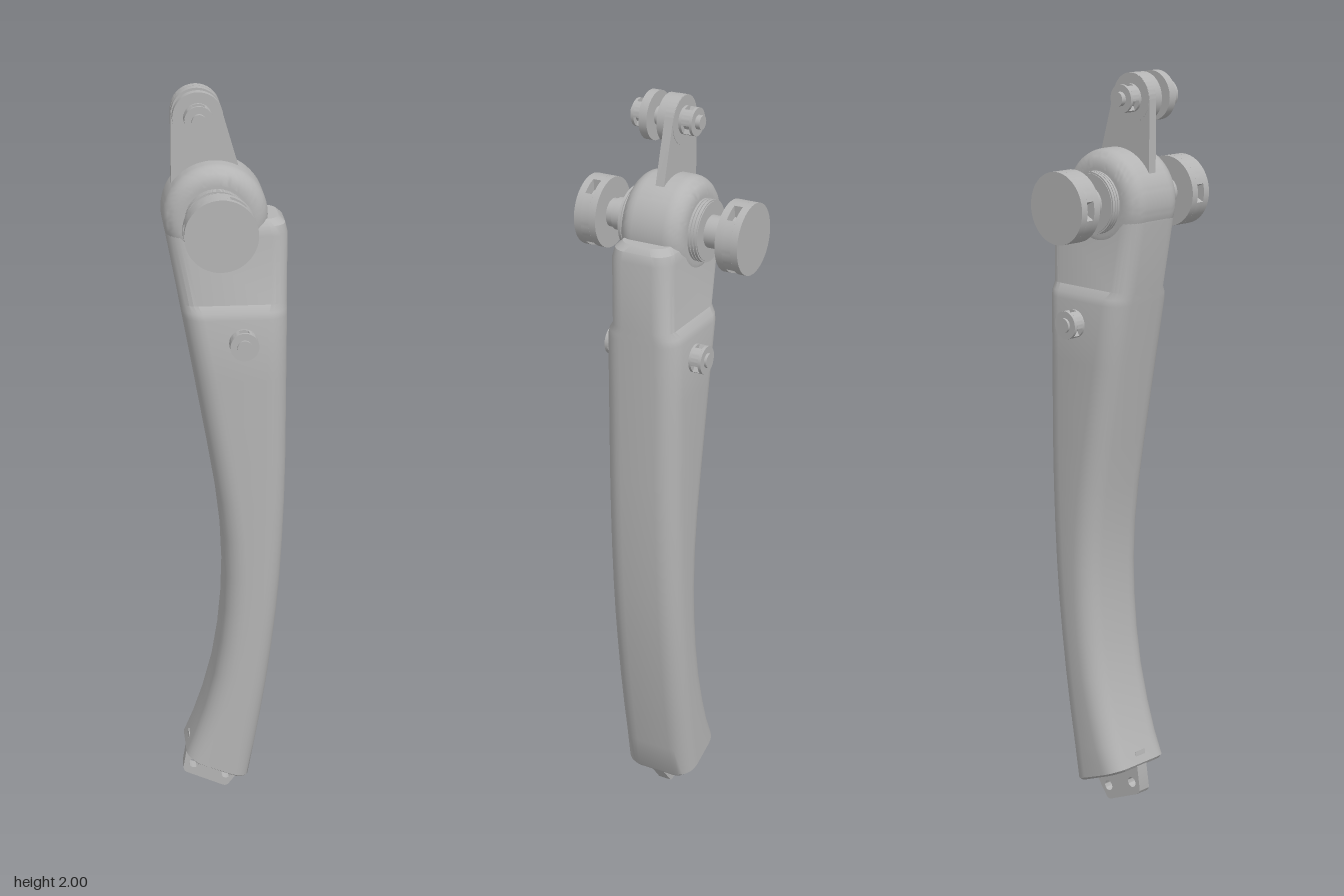
import * as THREE from 'three';
import { toCreasedNormals } from 'three/addons/utils/BufferGeometryUtils.js';

const metal = new THREE.MeshStandardMaterial({ color: 0xb4b4b4 });
metal.name = 'grey metal';

function add(parent, name, geometry) {
  const mesh = new THREE.Mesh(geometry, metal);
  mesh.name = name;
  parent.add(mesh);
  return mesh;
}

// Disc along z from z0 to z1
function disc(parent, name, x, y, r, z0, z1) {
  const g = new THREE.CylinderGeometry(r, r, Math.abs(z1 - z0), 48).rotateX(Math.PI / 2);
  add(parent, name, g).position.set(x, y, (z0 + z1) / 2);
}

// Flat shape extruded between z0 and z1
function plate(parent, name, shape, z0, z1) {
  const lo = Math.min(z0, z1);
  const g = new THREE.ExtrudeGeometry(shape, { depth: Math.abs(z1 - z0), bevelEnabled: false, curveSegments: 32 });
  add(parent, name, toCreasedNormals(g.translate(0, 0, lo), 0.5));
}

// Collar with three radial screw pockets in its middle layer
function collar(parent, name, x, y, r, z0, z1, phase, halfAngle, depth, slot) {
  const mid = (z0 + z1) / 2, s = Math.sign(z1 - z0) * slot / 2;
  disc(parent, name, x, y, r, z0, mid - s);
  disc(parent, name, x, y, r, mid + s, z1);
  const pts = [];
  for (let i = 0; i < 72; i++) {
    const off = ((i * 5 - phase + 420) % 120) - 60;
    const rad = Math.abs(off) <= halfAngle ? r - depth : r;
    const a = THREE.MathUtils.degToRad(i * 5 + 60);
    pts.push(new THREE.Vector2(x + rad * Math.cos(a), y + rad * Math.sin(a)));
  }
  plate(parent, name + 'Pockets', new THREE.Shape(pts), mid - s, mid + s);
}

// Rounded-rectangle sections [xLeft, yLeft, xRight, yRight, halfDepth, corner] joined from bottom to top
function loft(sections) {
  const pos = [], idx = [], steps = 6, n = 4 * (steps + 1);
  for (const [xl, yl, xr, yr, h, c] of sections) {
    for (let q = 0; q < 4; q++) {
      for (let k = 0; k <= steps; k++) {
        const a = (q + k / steps) * Math.PI / 2;
        const cx = q === 0 || q === 3 ? xr - c : xl + c;
        const cz = q < 2 ? h - c : c - h;
        const x = cx + c * Math.cos(a);
        pos.push(x, yl + (yr - yl) * (x - xl) / (xr - xl), cz + c * Math.sin(a));
      }
    }
  }
  const last = sections.length - 1;
  for (let i = 0; i < last; i++) {
    for (let j = 0; j < n; j++) {
      const a = i * n + j, b = i * n + (j + 1) % n;
      idx.push(a, a + n, b + n, a, b + n, b);
    }
  }
  for (const i of [0, last]) {
    const [xl, yl, xr, yr] = sections[i], m = pos.length / 3;
    pos.push((xl + xr) / 2, (yl + yr) / 2, 0);
    for (let j = 0; j < n; j++) {
      const a = i * n + j, b = i * n + (j + 1) % n;
      if (i) idx.push(m, b, a); else idx.push(m, a, b);
    }
  }
  const g = new THREE.BufferGeometry();
  g.setAttribute('position', new THREE.Float32BufferAttribute(pos, 3));
  g.setIndex(idx);
  return toCreasedNormals(g, 0.6);
}

export function createModel() {
  const model = new THREE.Group();
  model.name = 'leverArm';

  // Curved arm with a thinner upper end and a rounded shoulder
  add(model, 'arm', loft([
    [-0.105, 0.128, 0.055, 0.06, 0.092, 0.04],
    [-0.11, 0.137, 0.06, 0.067, 0.105, 0.05],
    [-0.085, 0.2, 0.078, 0.16, 0.105, 0.055],
    [-0.058, 0.28, 0.095, 0.26, 0.105, 0.055],
    [-0.032, 0.38, 0.112, 0.37, 0.105, 0.055],
    [-0.016, 0.48, 0.126, 0.48, 0.105, 0.055],
    [-0.007, 0.58, 0.137, 0.58, 0.105, 0.055],
    [-0.004, 0.68, 0.145, 0.68, 0.105, 0.055],
    [-0.009, 0.79, 0.151, 0.79, 0.105, 0.055],
    [-0.022, 0.9, 0.155, 0.9, 0.105, 0.055],
    [-0.042, 1.02, 0.157, 1.02, 0.105, 0.055],
    [-0.083, 1.25, 0.157, 1.25, 0.105, 0.055],
    [-0.113, 1.415, 0.157, 1.415, 0.105, 0.055],
    [-0.116, 1.432, 0.157, 1.432, 0.1, 0.052],
    [-0.119, 1.45, 0.157, 1.45, 0.087, 0.045],
    [-0.153, 1.63, 0.157, 1.63, 0.087, 0.045],
    [-0.154, 1.655, 0.151, 1.655, 0.081, 0.043],
    [-0.15, 1.67, 0.135, 1.67, 0.066, 0.04],
  ]));

  // Rounded pivot head
  const px = -0.027, py = 1.677, bevel = 0.045;
  const head = new THREE.ExtrudeGeometry(new THREE.Shape().absarc(px, py, 0.133, 0, Math.PI * 2), {
    depth: 0.176 - 2 * bevel, bevelThickness: bevel, bevelSize: bevel, bevelOffset: -bevel,
    bevelSegments: 7, curveSegments: 48,
  });
  head.translate(0, 0, -0.088 + bevel);
  add(model, 'pivotHead', toCreasedNormals(head, 0.5));

  for (const s of [1, -1]) {
    // Pivot washers, stepped hub and pocketed end knob
    const side = new THREE.Group();
    side.name = s > 0 ? 'frontPivot' : 'backPivot';
    model.add(side);
    for (let i = 0; i < 3; i++) {
      const z = 0.087 + i * 0.0087;
      disc(side, 'washer', px, py, 0.08, s * z, s * (z + 0.0067));
      disc(side, 'washerGroove', px, py, 0.076, s * (z + 0.0067), s * (z + 0.0087));
    }
    disc(side, 'hub', px, py, 0.042, s * 0.11, s * 0.152);
    disc(side, 'neck', px, py, 0.037, s * 0.15, s * 0.172);
    collar(side, 'knob', px, py, 0.092, s * 0.17, s * 0.232, 0, 12, 0.03, 0.023);

    // Side bolt lower on the arm
    const bolt = new THREE.Group();
    bolt.name = s > 0 ? 'frontBolt' : 'backBolt';
    model.add(bolt);
    collar(bolt, 'boltCollar', 0.04, 1.355, 0.037, s * 0.103, s * 0.14, 30, 15, 0.014, 0.02);
    disc(bolt, 'boltPin', 0.04, 1.355, 0.019, s * 0.1, s * 0.147);
  }

  // Thin tapered link rising from the head
  const tx = -0.073, ty = 1.938, tr = 0.063;
  const link = new THREE.Shape();
  link.moveTo(-0.136, 1.7);
  link.lineTo(0.062, 1.7);
  link.lineTo(tx + tr * Math.cos(0.32), ty + tr * Math.sin(0.32));
  link.absarc(tx, ty, tr, 0.32, Math.PI, false);
  plate(model, 'link', link, -0.012, 0.012);

  // Top joint: two cheeks on an axle with a collar at each end
  const joint = new THREE.Group();
  joint.name = 'topJoint';
  model.add(joint);
  disc(joint, 'innerCheek', tx, ty, tr - 0.0005, -0.013, 0.034);
  disc(joint, 'outerCheek', tx, ty, tr, 0.062, 0.085);
  disc(joint, 'spacer', tx, ty, 0.024, 0.03, 0.065);
  disc(joint, 'axle', tx, ty, 0.018, -0.063, 0.133);
  collar(joint, 'backCollar', tx, ty, 0.036, -0.013, -0.05, 30, 20, 0.012, 0.022);
  collar(joint, 'frontCollar', tx, ty, 0.036, 0.085, 0.122, 30, 20, 0.012, 0.022);

  // Foot tab with two holes
  const tab = new THREE.Shape();
  tab.moveTo(-0.1, 0.17);
  tab.lineTo(-0.116, 0.068);
  tab.quadraticCurveTo(-0.118, 0.053, -0.104, 0.047);
  tab.lineTo(-0.008, 0.003);
  tab.quadraticCurveTo(0.004, -0.003, 0.012, 0.008);
  tab.lineTo(0.052, 0.06);
  tab.lineTo(0.05, 0.11);
  for (const [x, y] of [[-0.086, 0.077], [0.003, 0.039]]) {
    tab.holes.push(new THREE.Path().absarc(x, y, 0.014, 0, Math.PI * 2, true));
  }
  plate(model, 'footTab', tab, -0.018, 0.018);

  return model;
}
